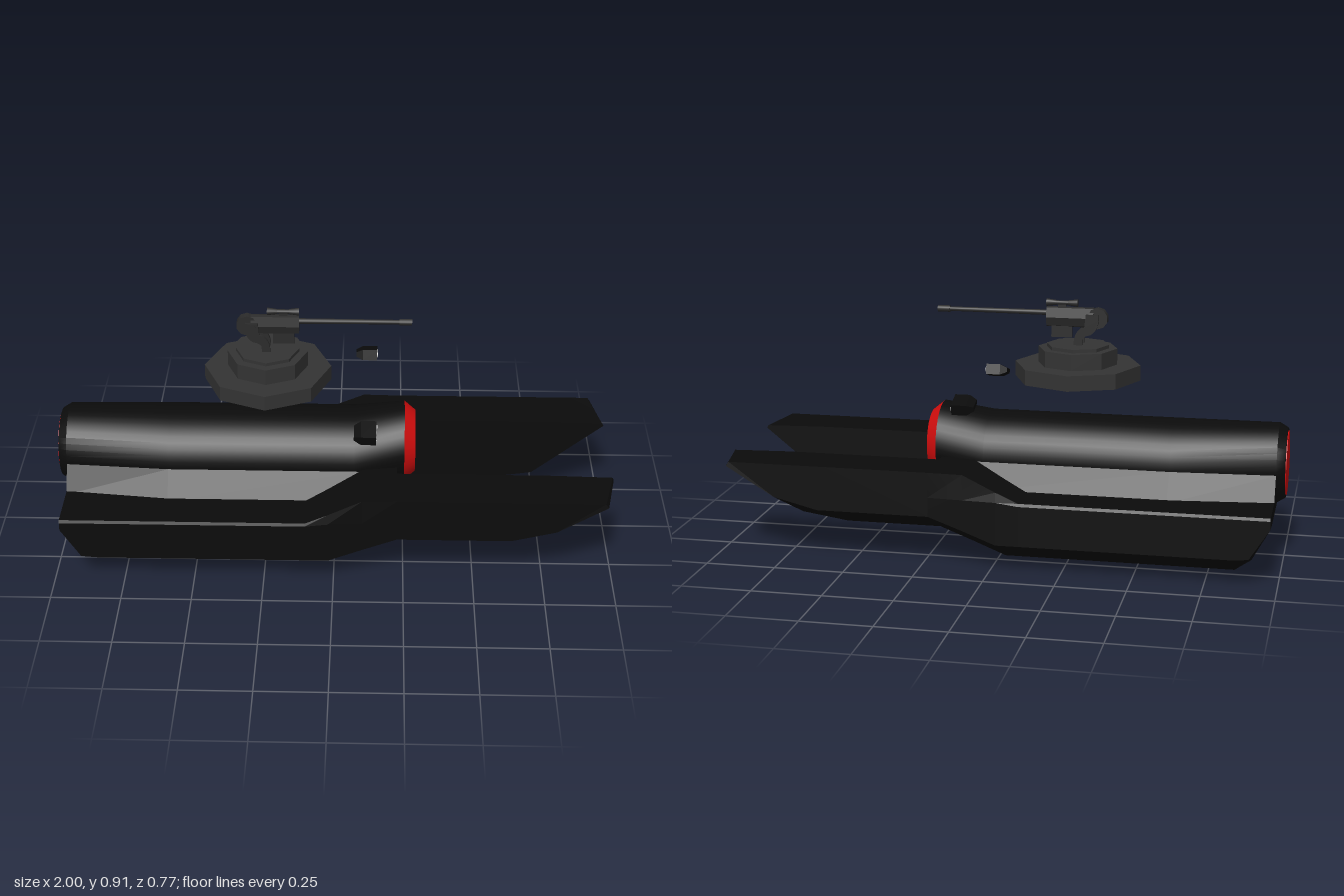
import * as THREE from 'three';
import { toCreasedNormals } from 'three/addons/utils/BufferGeometryUtils.js';

const mat = (name, color) => {
  const m = new THREE.MeshStandardMaterial({ color });
  m.name = name;
  return m;
};

// Skin over rings of [x, y, z] points with closed ends; winding is set to face outward.
function loft(rings, crease = 0.05) {
  const tris = [];
  const n = rings[0].length;
  for (let i = 0; i < rings.length - 1; i++) {
    for (let j = 0; j < n; j++) {
      const k = (j + 1) % n;
      const a = rings[i][j], b = rings[i][k], c = rings[i + 1][k], d = rings[i + 1][j];
      tris.push([a, b, c], [a, c, d]);
    }
  }
  const cap = (ring, flip) => {
    const c = [0, 1, 2].map(q => ring.reduce((s, p) => s + p[q], 0) / n);
    ring.forEach((p, j) => {
      const r = ring[(j + 1) % n];
      tris.push(flip ? [c, r, p] : [c, p, r]);
    });
  };
  cap(rings[0], true);
  cap(rings[rings.length - 1], false);
  let volume = 0;
  for (const t of tris) {
    const [a, b, c] = t.map(p => new THREE.Vector3(...p));
    volume += a.dot(b.cross(c));
  }
  if (volume < 0) tris.forEach(t => t.reverse());
  const g = new THREE.BufferGeometry();
  g.setAttribute('position', new THREE.Float32BufferAttribute(tris.flat(2), 3));
  return toCreasedNormals(g, crease);
}

const ellipse = (x, cy, ry, rz, n = 40) => Array.from({ length: n }, (_, i) => {
  const a = i / n * Math.PI * 2;
  return [x, cy + ry * Math.sin(a), rz * Math.cos(a)];
});

// Mirror a half section of [z, y] points, running from bottom centre to top centre
const section = (x, half) => [
  ...half.map(([z, y]) => [x, y, z]),
  ...half.slice(1, -1).reverse().map(([z, y]) => [x, y, -z]),
];

export function createModel() {
  const root = new THREE.Group();
  const black = mat('hull black', 0x0b0b0b);
  const gray = mat('turret gray', 0x333333);
  const dark = mat('gun gray', 0x2b2b2b);
  const red = mat('engine red', 0xd00d0d);
  const white = mat('lamp white', 0xcccccc);

  const add = (parent, name, geo, material, x = 0, y = 0, z = 0) => {
    const m = new THREE.Mesh(geo, material);
    m.name = name;
    m.position.set(x, y, z);
    parent.add(m);
    return m;
  };
  // Cylinder lying along x; r0 at the low x end, r1 at the high x end
  const rod = (r0, r1, len, n = 12) =>
    new THREE.CylinderGeometry(r1, r0, len, n).rotateZ(-Math.PI / 2);

  // Main hull: x, keel centre, bottom z/y, chine z/y, shoulder y, deck z/y
  const stations = [
    [-0.97, 0.20, 0.30, 0.20, 0.385, 0.21, 0.24, 0.380, 0.250],
    [-0.90, 0.05, 0.23, 0.05, 0.385, 0.10, 0.24, 0.380, 0.250],
    [-0.84, 0.00, 0.20, 0.00, 0.385, 0.095, 0.24, 0.380, 0.250],
    [-0.10, 0.00, 0.20, 0.00, 0.385, 0.095, 0.24, 0.380, 0.250],
    [-0.02, 0.00, 0.20, 0.00, 0.385, 0.095, 0.25, 0.378, 0.285],
    [0.10, 0.063, 0.193, 0.045, 0.378, 0.138, 0.25, 0.372, 0.34],
    [0.225, 0.125, 0.185, 0.09, 0.370, 0.18, 0.25, 0.368, 0.34],
  ];
  add(root, 'hull', loft(stations.map(([x, k, bz, by, cz, cy, sy, dz, dy]) =>
    section(x, [[0, k], [bz, by], [cz, cy], [cz, sy], [dz, dy], [0.2, dy], [0, dy]]))), black);

  // Sloping skirt between the deck and the round fuselage
  add(root, 'fuselageSkirt', loft([[-0.97, 0.145, 0.2], [-0.6, 0.17, 0.24], [0.1, 0.17, 0.24], [0.2, 0.155, 0.2]]
    .map(([x, top, foot]) => section(x, [[0, 0.24], [foot, 0.24], [top, 0.335], [0, 0.335]]))), black);

  // Forward prongs, one on each side
  for (const s of [1, -1]) {
    const prong = [
      [0.22, 0.09, 0.22, 0.18, 0.22, 0.22],
      [0.57, 0.09, 0.63, 0.18, 0.60, 0.60],
      [0.74, 0.115, 0.79, 0.22, 0.78, 0.78],
      [1.0, 0.325, 0.965, 0.325, 0.955, 0.995],
    ].map(([bx, by, cx, cy, ox, ix], i) => {
      const top = i === 3 ? 0.335 : 0.34;
      return [[bx, by, s * 0.187], [cx, cy, s * 0.37], [ox, 0.34, s * 0.368], [ix, top, s * 0.187]];
    });
    add(root, s > 0 ? 'leftProng' : 'rightProng', loft(prong), black);
  }

  // Round fuselage with red caps at both ends
  add(root, 'fuselage', loft([
    ellipse(-1.0, 0.345, 0.125, 0.125),
    ellipse(-0.97, 0.345, 0.143, 0.143),
    ellipse(-0.6, 0.34, 0.145, 0.17),
    ellipse(0.07, 0.34, 0.145, 0.17),
    ellipse(0.25, 0.367, 0.145, 0.145),
  ], 0.5), black);
  add(root, 'noseCap', toCreasedNormals(rod(0.145, 0.112, 0.04, 40), 0.5), red, 0.27, 0.367);
  add(root, 'rearDisc', rod(0.115, 0.115, 0.006, 40), red, -1.0, 0.345);

  // Floating turret of stacked octagonal tiers
  const turret = new THREE.Group();
  turret.name = 'turret';
  turret.position.x = -0.243;
  root.add(turret);
  [[0.227, 0.62, 0.675], [0.143, 0.675, 0.733], [0.113, 0.733, 0.745]].forEach(([r, y0, y1], i) =>
    add(turret, 'turretTier' + (i + 1),
      toCreasedNormals(new THREE.CylinderGeometry(r, r, y1 - y0, 8), 0.1), gray, 0, (y0 + y1) / 2));

  // Gun cradle: two curved side arms
  const gun = new THREE.Group();
  gun.name = 'gun';
  root.add(gun);
  const arm = new THREE.Shape();
  arm.moveTo(-0.262, 0.745);
  arm.lineTo(-0.262, 0.765);
  arm.quadraticCurveTo(-0.27, 0.78, -0.29, 0.782);
  arm.quadraticCurveTo(-0.325, 0.80, -0.32, 0.855);
  arm.lineTo(-0.275, 0.855);
  arm.lineTo(-0.27, 0.81);
  arm.quadraticCurveTo(-0.232, 0.80, -0.232, 0.745);
  for (const z of [0.018, -0.029])
    add(gun, 'cradleArm', new THREE.ExtrudeGeometry(arm, { depth: 0.011, bevelEnabled: false }), dark, 0, 0, z);
  add(gun, 'pivot', new THREE.CylinderGeometry(0.013, 0.013, 0.06, 12).rotateX(Math.PI / 2), dark, -0.295, 0.84);

  // Receiver, magazine and breech
  const receiver = [[0, 0.805], [0.011, 0.81], [0.02, 0.84], [0.012, 0.875], [0, 0.878]];
  add(gun, 'receiver', loft([section(-0.3, receiver), section(-0.13, receiver)]), dark);
  add(gun, 'breech', new THREE.CylinderGeometry(0.038, 0.038, 0.03, 10).rotateX(Math.PI / 2), dark, -0.314, 0.84);
  add(gun, 'magazine', new THREE.BoxGeometry(0.075, 0.05, 0.016), dark, -0.185, 0.793);

  // Barrel with a thicker muzzle
  add(gun, 'barrel', rod(0.01, 0.008, 0.37), dark, 0.055, 0.855);
  add(gun, 'muzzle', rod(0.012, 0.012, 0.045), dark, 0.247, 0.855);

  // Sight on a short mount, flared at both ends
  add(gun, 'sightMount', new THREE.BoxGeometry(0.03, 0.025, 0.01), dark, -0.185, 0.88);
  add(gun, 'sightTube', rod(0.008, 0.008, 0.1), dark, -0.185, 0.892);
  add(gun, 'sightRear', rod(0.014, 0.009, 0.035), dark, -0.225, 0.892);
  add(gun, 'sightFront', rod(0.009, 0.014, 0.035), dark, -0.147, 0.892);

  // Floating lamp pods with three lamps facing forward
  for (const s of [1, -1]) {
    const pod = new THREE.Group();
    pod.name = s > 0 ? 'leftLampPod' : 'rightLampPod';
    pod.position.set(0.11, 0.57, s * 0.287);
    pod.rotation.x = s * 0.3;
    root.add(pod);
    const box = (x, h, w) => [[x, -h, -w], [x, -h, w], [x, h, w], [x, h, -w]];
    add(pod, 'lampHousing', loft([box(-0.04, 0.008, 0.028), box(-0.015, 0.0195, 0.0385), box(0.038, 0.0195, 0.0385)]), black);
    for (const z of [-0.025, 0, 0.025])
      add(pod, 'lamp', rod(0.0105, 0.0105, 0.004, 16), white, 0.039, 0, z);
  }
  return root;
}
